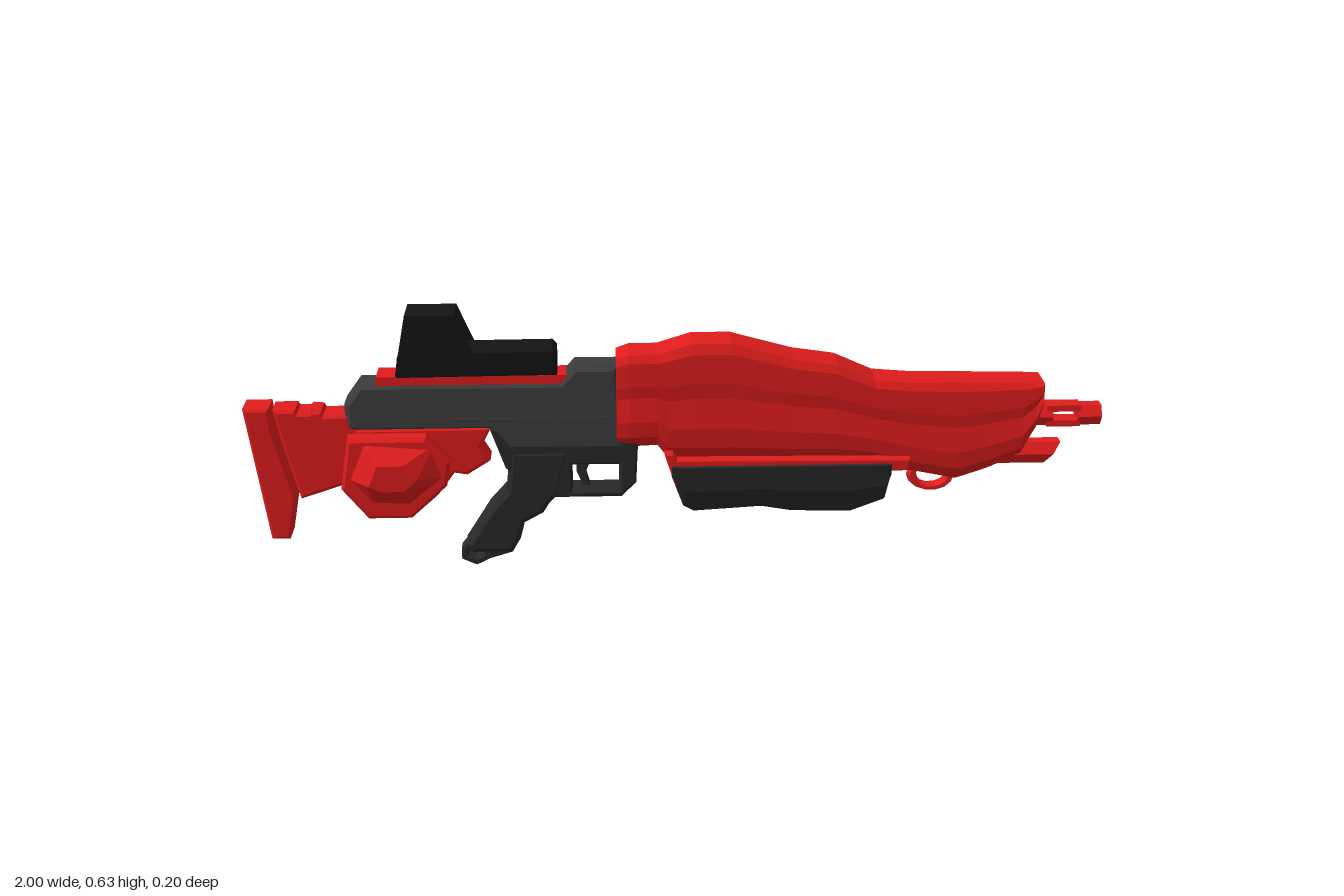
import * as THREE from 'three';
import { ConvexGeometry } from 'three/addons/geometries/ConvexGeometry.js';

const RED = 0xe01c1c, GREY = 0x3c3c3c, DARK = 0x2a2929, BLACK = 0x141414;
const mat = (color) => new THREE.MeshStandardMaterial({ color, flatShading: true, side: THREE.DoubleSide });

export function createModel() {
  const gun = new THREE.Group();
  gun.name = 'toyBlaster';
  gun.position.z = -0.018; // the centre plane sits off zero because of the side pod

  const add = (name, geometry, color, x = 0, y = 0, z = 0) => {
    const mesh = new THREE.Mesh(geometry, mat(color));
    mesh.name = name;
    mesh.position.set(x, y, z);
    gun.add(mesh);
    return mesh;
  };
  const box = (name, color, x0, x1, y0, y1, z0, z1) =>
    add(name, new THREE.BoxGeometry(x1 - x0, y1 - y0, z1 - z0), color, (x0 + x1) / 2, (y0 + y1) / 2, (z0 + z1) / 2);

  // Side outline extruded across z with a chamfered edge that stays inside it
  const vecs = (pts) => pts.map(([x, y]) => new THREE.Vector2(x, y));
  const plate = (name, color, pts, half, bevel = 0.008, holes = [], z = 0) => {
    const shape = new THREE.Shape(vecs(pts));
    holes.forEach((h) => shape.holes.push(new THREE.Path(vecs(h))));
    const geo = new THREE.ExtrudeGeometry(shape, {
      depth: 2 * (half - bevel), bevelEnabled: bevel > 0, bevelThickness: bevel,
      bevelSize: bevel, bevelOffset: -bevel, bevelSegments: 1, curveSegments: 8,
    });
    geo.translate(0, 0, bevel - half);
    return add(name, geo, color, 0, 0, z);
  };

  // Mirrored cross-sections [z, y] joined along x
  const loft = (name, color, stations) => {
    const rings = stations.map(([x, half]) =>
      [...half, ...half.map(([z, y]) => [-z, y]).reverse()].map(([z, y]) => [x, y, z]));
    const out = [], n = rings[0].length;
    for (let i = 0; i + 1 < rings.length; i++) {
      for (let j = 0; j < n; j++) {
        const k = (j + 1) % n, a = rings[i][j], b = rings[i + 1][j], c = rings[i + 1][k], d = rings[i][k];
        out.push(...a, ...b, ...d, ...b, ...c, ...d);
      }
    }
    for (const ring of [rings[0], rings[rings.length - 1]]) {
      const tris = THREE.ShapeUtils.triangulateShape(ring.map((p) => new THREE.Vector2(p[2], p[1])), []);
      tris.forEach((t) => t.forEach((i) => out.push(...ring[i])));
    }
    const geo = new THREE.BufferGeometry();
    geo.setAttribute('position', new THREE.Float32BufferAttribute(out, 3));
    geo.computeVertexNormals();
    return add(name, geo, color);
  };

  // Main shell: x, bottom, top, half width
  const shell = [
    [-0.14, 0.305, 0.525, 0.052], [-0.11, 0.305, 0.535, 0.056], [-0.045, 0.308, 0.535, 0.057],
    [-0.02, 0.275, 0.543, 0.057], [0.035, 0.27, 0.56, 0.057], [0.125, 0.27, 0.56, 0.057],
    [0.27, 0.27, 0.52, 0.057], [0.37, 0.27, 0.505, 0.057], [0.46, 0.265, 0.465, 0.055],
    [0.55, 0.235, 0.458, 0.053], [0.66, 0.212, 0.457, 0.052], [0.73, 0.235, 0.455, 0.05],
    [0.81, 0.27, 0.454, 0.049], [0.84, 0.33, 0.453, 0.048], [0.855, 0.39, 0.453, 0.047],
  ];
  const profile = [[0.5, 0], [0.92, 0.13], [1, 0.3], [0.9, 0.55], [0.97, 0.68], [0.96, 0.92], [0.78, 1]];
  loft('mainShell', RED, shell.map(([x, b, t, w]) => [x, profile.map(([z, f]) => [z * w, b + f * (t - b)])]));

  // Side rails with a hooked rear end
  for (const s of [1, -1]) {
    plate('sideRail', RED, [[-0.03, 0.3], [-0.005, 0.22], [0.02, 0.22], [0.03, 0.25], [0.54, 0.25],
      [0.545, 0.28], [0.0, 0.285], [-0.01, 0.3]], 0.014, 0.004, [], s * 0.056);
  }

  // Pump grip: U-shaped section whose depth varies along x
  const uShape = [[0.035, 0.135], [0.055, 0.152], [0.079, 0.205], [0.084, 0.27], [0.077, 0.272], [0.067, 0.235], [0.035, 0.2]];
  const pump = [[-0.012, 0.3], [0.015, 0.85], [0.04, 0.95], [0.2, 0.88], [0.27, 0.97], [0.41, 1], [0.49, 0.78], [0.5, 0.4]];
  loft('pumpGrip', DARK, pump.map(([x, d]) => [x, uShape.map(([z, y]) => [z, 0.272 - (0.272 - y) * d])]));

  // Lower tube with a slanted end
  const hex = (r, len) => new THREE.CylinderGeometry(r, r, len, 6).rotateZ(Math.PI / 2);
  const tube = hex(0.03, 0.89);
  const tp = tube.attributes.position;
  for (let i = 0; i < tp.count; i++) if (tp.getX(i) > 0) tp.setX(i, tp.getX(i) + tp.getY(i) * 0.7);
  add('lowerTube', tube, RED, 0.445, 0.27);

  // Barrel: upper and lower bars leave a slot open between the shell and the tip
  add('barrelTip', hex(0.028, 0.055), RED, 0.9715, 0.363);
  add('barrelRoot', hex(0.028, 0.09), RED, 0.84, 0.363);
  for (const s of [1, -1]) {
    plate('barrelBar', RED, [[0.87, 0.363 + s * 0.011], [0.95, 0.363 + s * 0.011],
      [0.95, 0.363 + s * 0.026], [0.87, 0.363 + s * 0.026]], 0.021, 0);
  }

  // Sling loop below the nose
  const loop = add('slingLoop', new THREE.TorusGeometry(0.042, 0.011, 6, 14), RED, 0.605, 0.215);
  loop.scale.set(1.1, 0.78, 1.8);

  // Receiver and trigger housing
  plate('receiver', GREY, [[-0.766, 0.355], [-0.766, 0.42], [-0.73, 0.47], [-0.27, 0.47], [-0.235, 0.507],
    [-0.135, 0.507], [-0.12, 0.3], [-0.39, 0.3], [-0.43, 0.355]], 0.041, 0.012);
  for (const s of [1, -1]) box('receiverStrip', GREY, -0.74, -0.16, 0.365, 0.385, s * 0.041 - 0.003, s * 0.041 + 0.003);
  plate('triggerHousing', DARK, [[-0.435, 0.355], [-0.4, 0.255], [-0.29, 0.18], [-0.13, 0.18], [-0.095, 0.215],
    [-0.09, 0.32], [-0.14, 0.355]], 0.036, 0.006,
  [[[-0.245, 0.197], [-0.135, 0.197], [-0.135, 0.262], [-0.245, 0.262]]]);
  plate('trigger', DARK, [[-0.235, 0.27], [-0.2, 0.27], [-0.213, 0.235], [-0.203, 0.2], [-0.22, 0.2], [-0.235, 0.235]], 0.01, 0.002);

  // Pistol grip with finger steps and a ring at the heel
  plate('pistolGrip', DARK, [[-0.39, 0.3], [-0.4, 0.2], [-0.44, 0.155], [-0.5, 0.06], [-0.485, 0.04], [-0.39, 0.04],
    [-0.37, 0.075], [-0.36, 0.115], [-0.315, 0.14], [-0.3, 0.165], [-0.275, 0.19], [-0.25, 0.3]], 0.039, 0.012);
  plate('heelRing', DARK, [[-0.512, 0.045], [-0.512, 0.018], [-0.477, 0.002], [-0.445, 0.018], [-0.39, 0.035],
    [-0.41, 0.07], [-0.49, 0.07]], 0.021, 0.004,
  [[[-0.497, 0.027], [-0.477, 0.02], [-0.458, 0.03], [-0.465, 0.042], [-0.492, 0.042]]]);

  // Stock: notched top, belly and separate butt plate
  plate('stock', RED, [[-0.932, 0.408], [-0.88, 0.408], [-0.875, 0.4], [-0.85, 0.4], [-0.845, 0.406], [-0.82, 0.404],
    [-0.815, 0.395], [-0.76, 0.395], [-0.74, 0.36], [-0.43, 0.36], [-0.455, 0.31], [-0.435, 0.275], [-0.49, 0.24],
    [-0.52, 0.245], [-0.56, 0.19], [-0.61, 0.145], [-0.72, 0.145], [-0.775, 0.22], [-0.88, 0.185], [-0.91, 0.3]], 0.036, 0.008);
  plate('buttPlate', RED, [[-1, 0.412], [-0.94, 0.412], [-0.935, 0.36], [-0.892, 0.19], [-0.912, 0.085], [-0.955, 0.085]], 0.038, 0.006);

  // Pod bulging from the front side of the stock
  plate('podBase', RED, [[-0.78, 0.225], [-0.72, 0.15], [-0.62, 0.15], [-0.535, 0.23], [-0.525, 0.29],
    [-0.58, 0.35], [-0.76, 0.35]], 0.024, 0.008, [], 0.054);
  const ring = (pts, z) => pts.map(([x, y]) => new THREE.Vector3(x, y, z));
  add('podBulge', new ConvexGeometry([
    ...ring([[-0.77, 0.25], [-0.71, 0.18], [-0.62, 0.175], [-0.53, 0.25], [-0.56, 0.33], [-0.73, 0.345]], 0.065),
    ...ring([[-0.71, 0.25], [-0.68, 0.237], [-0.63, 0.237], [-0.6, 0.265], [-0.63, 0.3], [-0.69, 0.3]], 0.121),
  ]), RED);

  // Sight: rail, low body and an open hood with an inner frame
  box('sightRail', RED, -0.69, -0.25, 0.462, 0.486, -0.034, 0.034);
  plate('sightBody', BLACK, [[-0.645, 0.482], [-0.64, 0.53], [-0.63, 0.55], [-0.285, 0.552], [-0.275, 0.54], [-0.275, 0.485]], 0.04, 0.008);
  const hood = [[-0.645, 0.49], [-0.636, 0.54], [-0.617, 0.636], [-0.505, 0.636], [-0.468, 0.55], [-0.46, 0.49]];
  const inner = [[-0.62, 0.52], [-0.6, 0.62], [-0.52, 0.62], [-0.49, 0.52]];
  for (const s of [1, -1]) {
    plate('hoodWall', BLACK, hood, 0.003, 0, [], s * 0.041);
    plate('innerFrameWall', BLACK, inner, 0.002, 0, [], s * 0.034);
  }
  box('hoodRoof', BLACK, -0.617, -0.505, 0.628, 0.636, -0.043, 0.043);
  box('innerFrameRoof', BLACK, -0.6, -0.52, 0.614, 0.62, -0.035, 0.035);

  const model = new THREE.Group();
  model.add(gun);
  return model;
}
